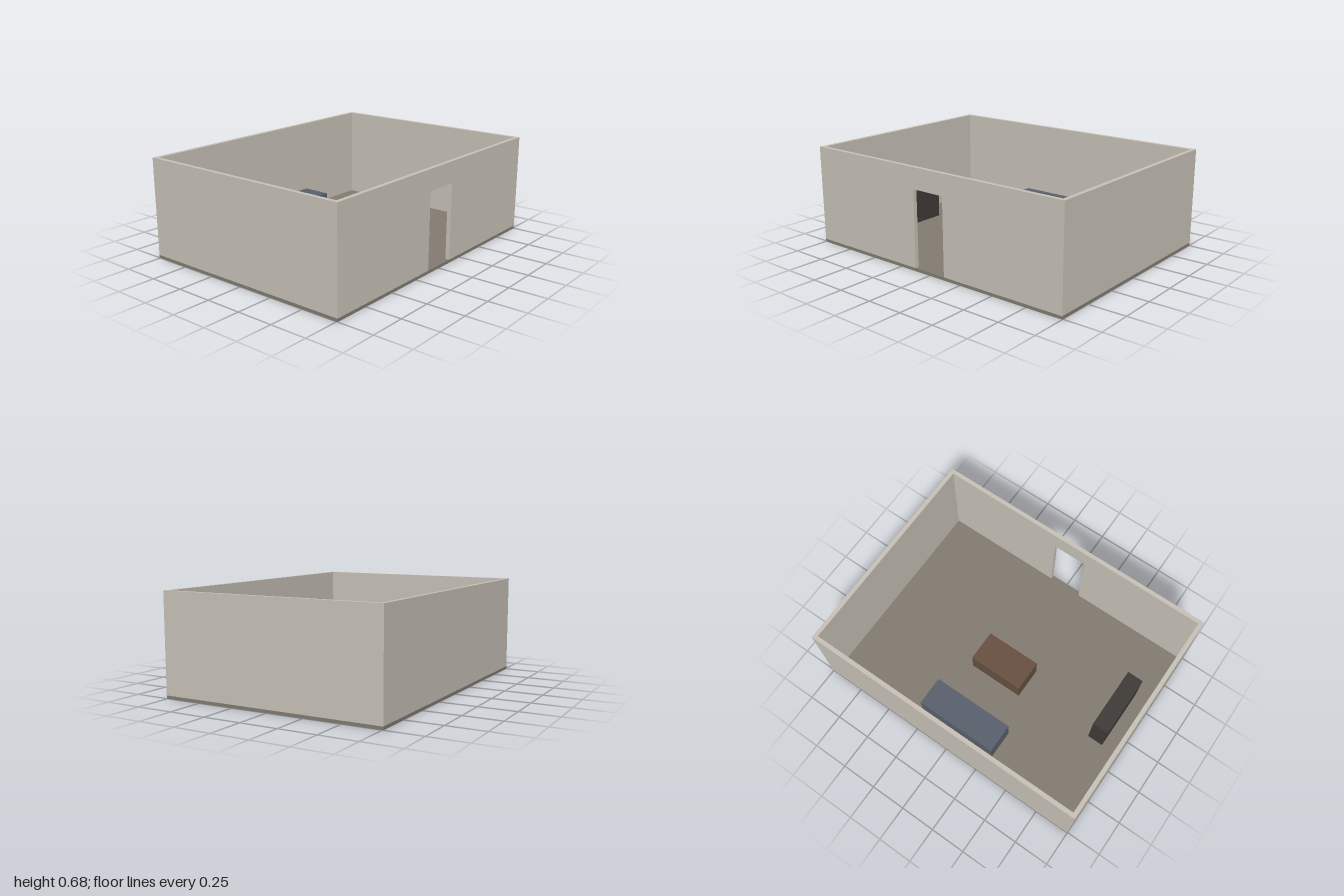
import * as THREE from 'three';

const W = 2, D = 1.514;             // outer plan
const FLOOR = 0.02, TOP = 0.675;    // floor surface and wall top
const T = 0.028;                    // wall thickness
const DOOR_W = 0.242, DOOR_TOP = 0.535;

const mat = (color) => new THREE.MeshStandardMaterial({ color });

export function createModel() {
  const room = new THREE.Group();
  room.name = 'room';
  const wallMat = mat(0xc8c2b8);

  const add = (name, geometry, material, parent = room) => {
    const mesh = new THREE.Mesh(geometry, material);
    mesh.name = name;
    parent.add(mesh);
    return mesh;
  };

  // Box given by its minimum and maximum on each axis
  const block = (name, [x0, x1], [y0, y1], [z0, z1], material, parent) =>
    add(name, new THREE.BoxGeometry(x1 - x0, y1 - y0, z1 - z0), material, parent)
      .position.set((x0 + x1) / 2, (y0 + y1) / 2, (z0 + z1) / 2);

  // Floor slab under the walls
  block('floor', [-W / 2, W / 2], [0, FLOOR], [-D / 2, D / 2], mat(0x827c72));

  // Back and side walls
  const walls = new THREE.Group();
  walls.name = 'walls';
  room.add(walls);
  block('backWall', [-W / 2, W / 2], [FLOOR, TOP], [-D / 2, -D / 2 + T], wallMat, walls);
  block('leftWall', [W / 2 - T, W / 2], [FLOOR, TOP], [-D / 2 + T, D / 2 - T], wallMat, walls);
  block('rightWall', [-W / 2, -W / 2 + T], [FLOOR, TOP], [-D / 2 + T, D / 2 - T], wallMat, walls);

  // Front wall outline with a doorway notched up from the floor
  const d = DOOR_W / 2;
  const outline = new THREE.Shape([
    [-W / 2, FLOOR], [-d, FLOOR], [-d, DOOR_TOP], [d, DOOR_TOP],
    [d, FLOOR], [W / 2, FLOOR], [W / 2, TOP], [-W / 2, TOP],
  ].map(([x, y]) => new THREE.Vector2(x, y)));
  add('frontWall', new THREE.ExtrudeGeometry(outline, { depth: T, bevelEnabled: false }), wallMat, walls)
    .position.z = D / 2 - T;

  // Furniture blocks standing on the floor
  block('sofa', [-0.293, 0.293], [FLOOR, 0.206], [-0.626, -0.421], mat(0x5a616c));
  block('coffeeTable', [-0.197, 0.197], [FLOOR, 0.194], [-0.16, 0.06], mat(0x675142));
  block('cabinet', [-0.87, -0.757], [FLOOR, 0.355], [-0.123, 0.312], mat(0x3f3b38));

  return room;
}
